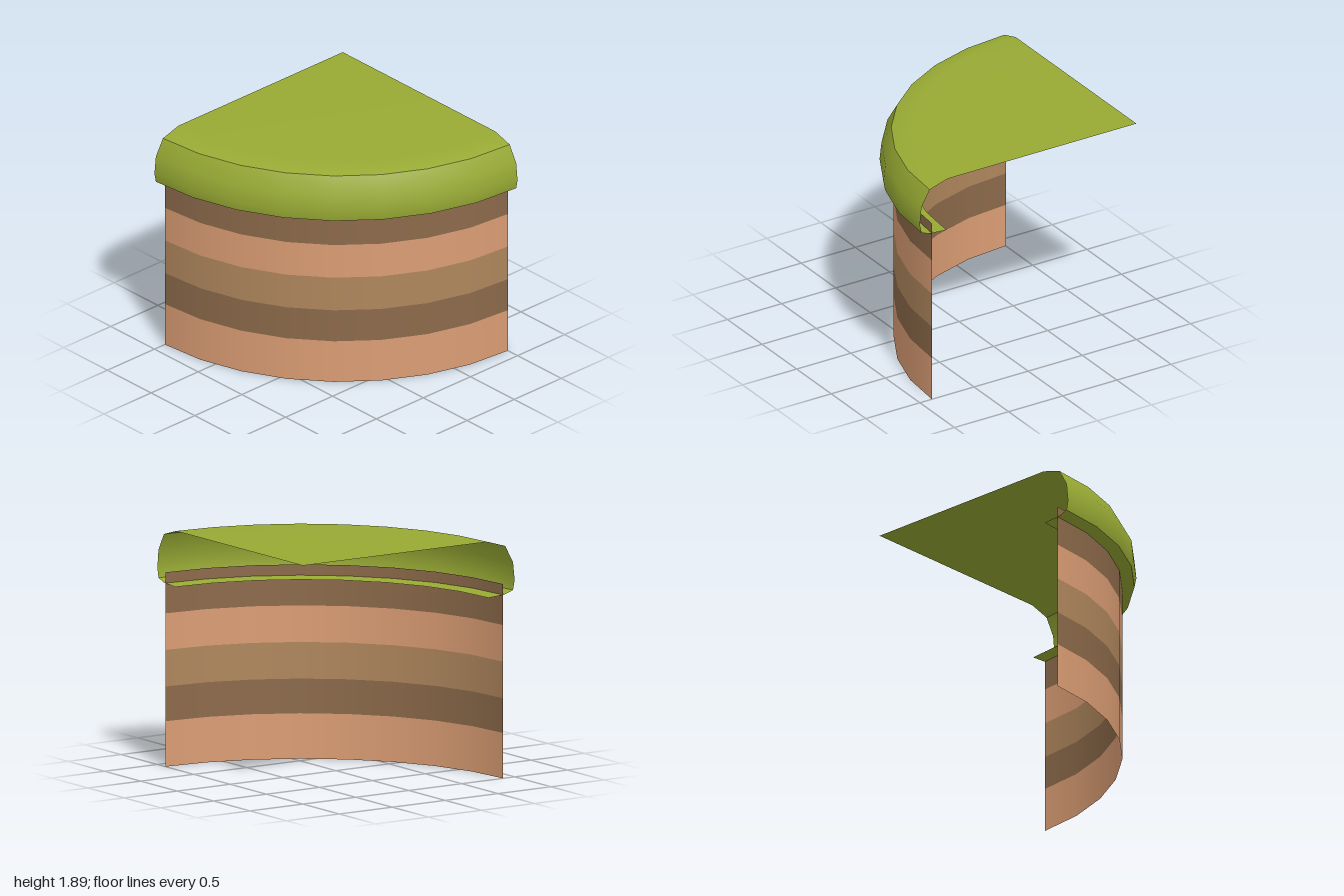
import * as THREE from 'three';

const SEGMENTS = 8;

// Quarter-turn surface swept about the corner axis, from -x round to +z
function quarterLathe(name, profile, color) {
  const points = profile.map(([r, y]) => new THREE.Vector2(r, y));
  const geometry = new THREE.LatheGeometry(points, SEGMENTS, Math.PI * 1.5, Math.PI / 2);
  const material = new THREE.MeshStandardMaterial({ color, side: THREE.DoubleSide });
  const mesh = new THREE.Mesh(geometry, material);
  mesh.name = name;
  return mesh;
}

export function createModel() {
  const model = new THREE.Group();
  model.name = 'cliffCorner';

  // Striped earth wall: stacked bands at one radius
  const wall = new THREE.Group();
  wall.name = 'earthWall';
  const wallRadius = 1.89;
  const light = 0xdb9d74, dark = 0x8c6a4a, tan = 0xb0875d;
  const heights = [0, 0.36, 0.635, 0.925, 1.215, 1.54];
  [light, dark, tan, light, dark].forEach((color, i) => {
    wall.add(quarterLathe(`earthBand${i + 1}`,
      [[wallRadius, heights[i]], [wallRadius, heights[i + 1]]], color));
  });

  // Grass cap: underside flap, rounded lip and flat top, with sharp edges between
  const grass = new THREE.Group();
  grass.name = 'grassCap';
  const green = 0x98aa34;
  grass.add(
    quarterLathe('grassUnderside', [[1.755, 1.445], [1.905, 1.455], [1.985, 1.482]], green),
    quarterLathe('grassLip', [[1.985, 1.482], [2, 1.56], [1.985, 1.705], [1.91, 1.84]], green),
    quarterLathe('grassTop', [[1.91, 1.84], [1.745, 1.89], [0, 1.89]], green),
  );

  // The sweep axis sits at the back +x corner
  model.add(wall, grass);
  for (const part of model.children) part.position.set(1, 0, -1);
  return model;
}
